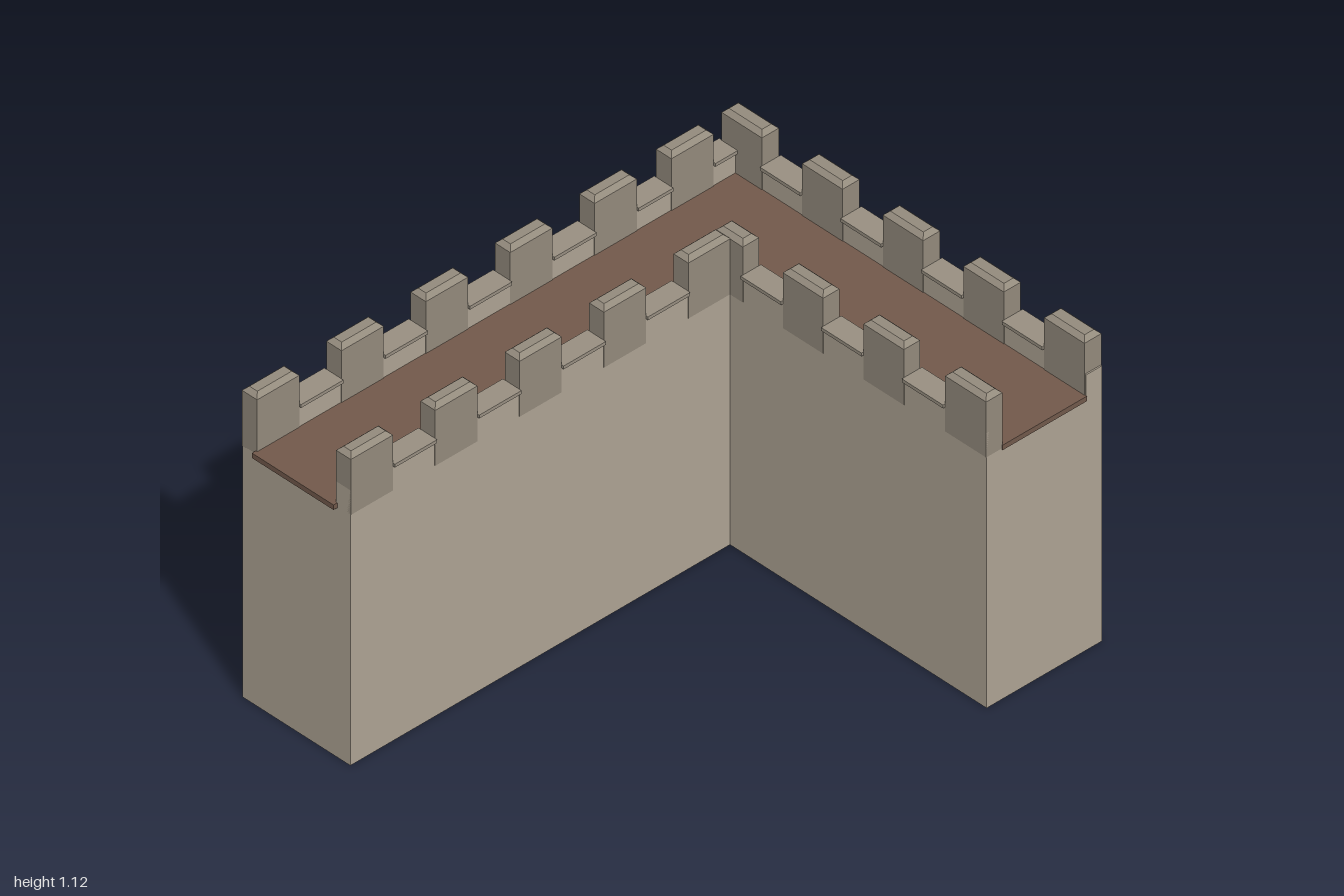
import * as THREE from 'three';

const mat = (color) => new THREE.MeshStandardMaterial({ color, flatShading: true });

export function createModel() {
  const root = new THREE.Group();
  root.name = 'cornerWall';
  const stone = mat(0xb0a595), block = mat(0x958c7e), coping = mat(0x9a9183);
  const wood = mat(0x735a4c), iron = mat(0x555555), dark = mat(0x0c0c0c);

  const add = (name, geo, material, parent = root) => {
    const mesh = new THREE.Mesh(geo, material);
    mesh.name = name;
    parent.add(mesh);
    return mesh;
  };
  // Box given by its limits
  const box = (name, x0, x1, y0, y1, z0, z1, material, parent) => {
    const g = new THREE.BoxGeometry(x1 - x0, y1 - y0, z1 - z0);
    g.translate((x0 + x1) / 2, (y0 + y1) / 2, (z0 + z1) / 2);
    return add(name, g, material, parent);
  };
  // L-shaped plan (x, z) extruded upwards
  const slab = (name, pts, y0, y1, material) => {
    const shape = new THREE.Shape(pts.map(([x, z]) => new THREE.Vector2(x, -z)));
    const g = new THREE.ExtrudeGeometry(shape, { depth: y1 - y0, bevelEnabled: false });
    g.rotateX(-Math.PI / 2).translate(0, y0, 0);
    return add(name, g, material);
  };

  // Wall body and walkway floor
  slab('wallBody', [[-0.985, -0.745], [0.975, -0.745], [0.975, 0.765], [0.518, 0.765],
    [0.518, -0.298], [-0.985, -0.298]], 0, 0.908, stone);
  slab('walkway', [[-1, -0.69], [0.912, -0.69], [0.912, 0.768], [0.578, 0.768],
    [0.578, -0.352], [-1, -0.352]], 0.9, 0.918, wood);

  // Merlon with chamfered top
  const merlon = (x0, x1, z0, z1, parent) => {
    const w = x1 - x0, d = z1 - z0, h = 0.215, c = 0.015;
    const g = new THREE.BoxGeometry(w, h, d, 1, 2, 1);
    const p = g.attributes.position;
    for (let i = 0; i < p.count; i++) {
      const y = p.getY(i);
      if (Math.abs(y) < 0.01) p.setY(i, h / 2 - c);
      else if (y > 0) {
        p.setX(i, p.getX(i) * (1 - 2 * c / w));
        p.setZ(i, p.getZ(i) * (1 - 2 * c / d));
      }
    }
    g.translate((x0 + x1) / 2, 0.905 + h / 2, (z0 + z1) / 2);
    add('merlon', g, block, parent);
  };

  // One parapet: low wall, merlons and copings between them.
  // across = [inner, outer] limits; spans = limits of the merlons along the run
  const parapet = (name, alongX, across, start, end, spans) => {
    const group = new THREE.Group();
    group.name = name;
    root.add(group);
    const [a, b] = across, o = 0.01, e = 0.002;
    const place = (n, s, t, y0, y1, p, q, m) => alongX
      ? box(n, s, t, y0, y1, p, q, m, group)
      : box(n, p, q, y0, y1, s, t, m, group);
    place('lowWall', start, end, 0.905, 0.993, a, b, stone);
    let from = start;
    for (const [s, t] of [...spans, [end, end]]) {
      if (s - from > 0.01) place('coping', from, s, 0.992, 1.004, a - o, b + o, coping);
      if (t > s) {
        if (alongX) merlon(s, t, a - e, b + e, group);
        else merlon(a - e, b + e, s, t, group);
      }
      from = t;
    }
  };
  const W = 0.167, P = 0.334;
  const run = (start, n) => Array.from({ length: n }, (_, i) => [start + i * P, start + i * P + W]);

  parapet('backParapet', true, [-0.745, -0.686], -0.985, 0.912, [...run(-0.985, 5), [0.655, 0.822]]);
  parapet('innerFrontParapet', true, [-0.355, -0.298], -0.985, 0.518, run(-0.985, 5));
  parapet('outerSideParapet', false, [0.912, 0.975], -0.745, 0.765, run(-0.745, 5).map(([s, t]) => [s + 0.002, Math.min(t + 0.002, 0.765)]));
  parapet('innerSideParapet', false, [0.518, 0.578], -0.355, 0.765,
    [[-0.355, -0.243], ...run(-0.077, 2), [0.595, 0.765]]);

  // Slit window: frame ring with a dark pane, facing +z before placing
  const slitWindow = (name) => {
    const group = new THREE.Group();
    group.name = name;
    const rect = (T, w, h) => {
      const s = new T();
      s.moveTo(-w, -h); s.lineTo(w, -h); s.lineTo(w, h); s.lineTo(-w, h); s.closePath();
      return s;
    };
    const ring = rect(THREE.Shape, 0.062, 0.18);
    ring.holes.push(rect(THREE.Path, 0.039, 0.157));
    add('windowFrame', new THREE.ExtrudeGeometry(ring, { depth: 0.032, bevelEnabled: false }).translate(0, 0, -0.01), iron, group);
    box('windowOpening', -0.041, 0.041, -0.159, 0.159, -0.008, 0.012, dark, group);
    root.add(group);
    return group;
  };
  const side = slitWindow('sideWindow');
  side.position.set(0.975, 0.636, 0.01);
  side.rotation.y = Math.PI / 2;
  const back = slitWindow('backWindow');
  back.position.set(-0.236, 0.636, -0.745);
  back.rotation.y = Math.PI;

  return root;
}
